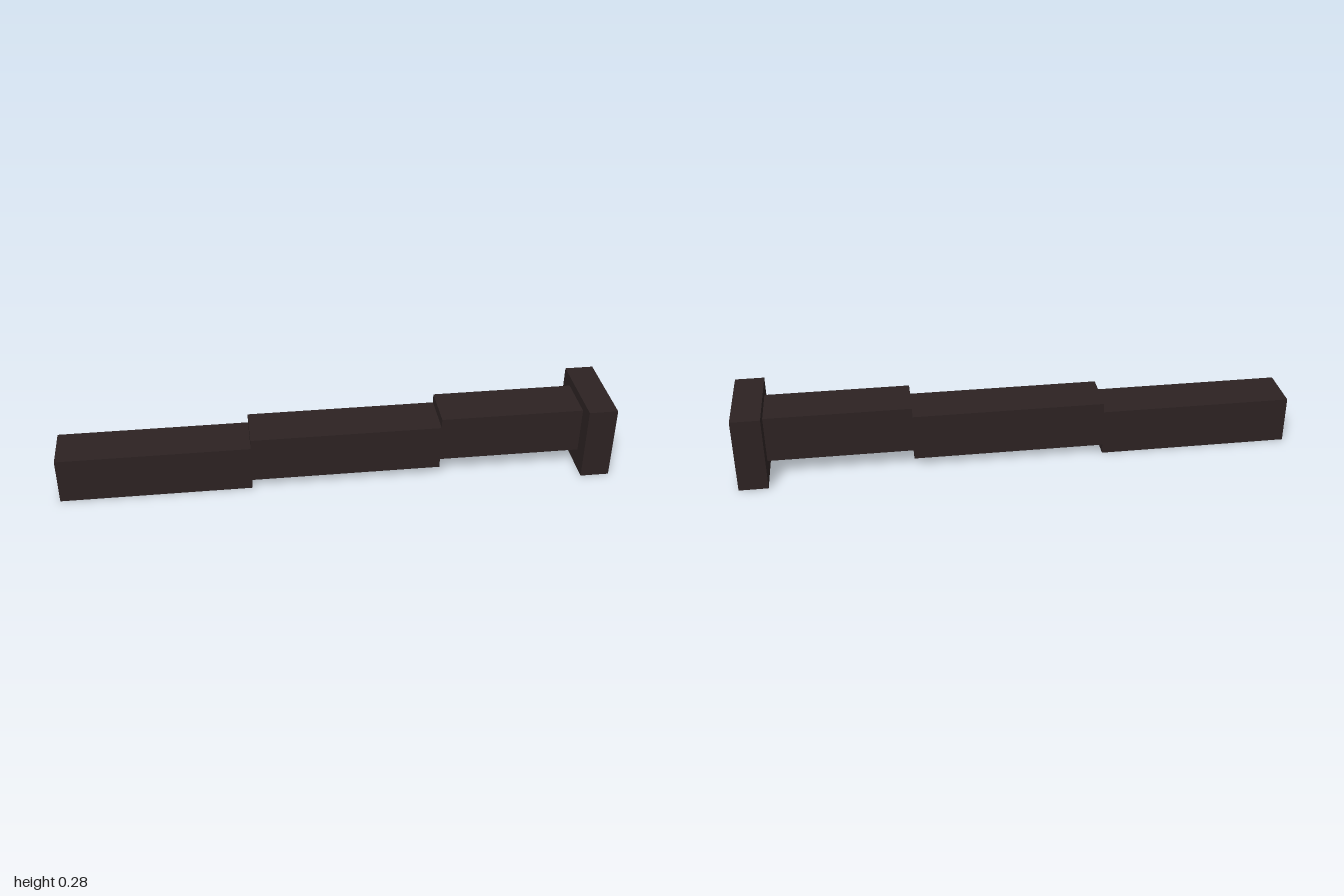
import * as THREE from 'three';

export function createModel() {
  const group = new THREE.Group();
  const darkBrown = new THREE.MeshStandardMaterial({ color: 0x2c2222 });
  darkBrown.name = 'darkBrown';

  // Box from its x range, y range and depth, centred on z = 0
  function addBox(name, x0, x1, y0, y1, depth) {
    const mesh = new THREE.Mesh(new THREE.BoxGeometry(x1 - x0, y1 - y0, depth), darkBrown);
    mesh.position.set((x0 + x1) / 2, (y0 + y1) / 2, 0);
    mesh.name = name;
    group.add(mesh);
  }

  // Three square bars, each stepped up from the last
  const thickness = 0.172;
  const step = 0.035;
  const ends = [-1, -0.311, 0.378, 0.896];
  ['lowerBar', 'middleBar', 'upperBar'].forEach((name, i) => {
    addBox(name, ends[i], ends[i + 1], i * step, i * step + thickness, thickness);
  });

  // Wide end block
  addBox('endBlock', 0.896, 1, 0, 0.276, 0.31);

  return group;
}
